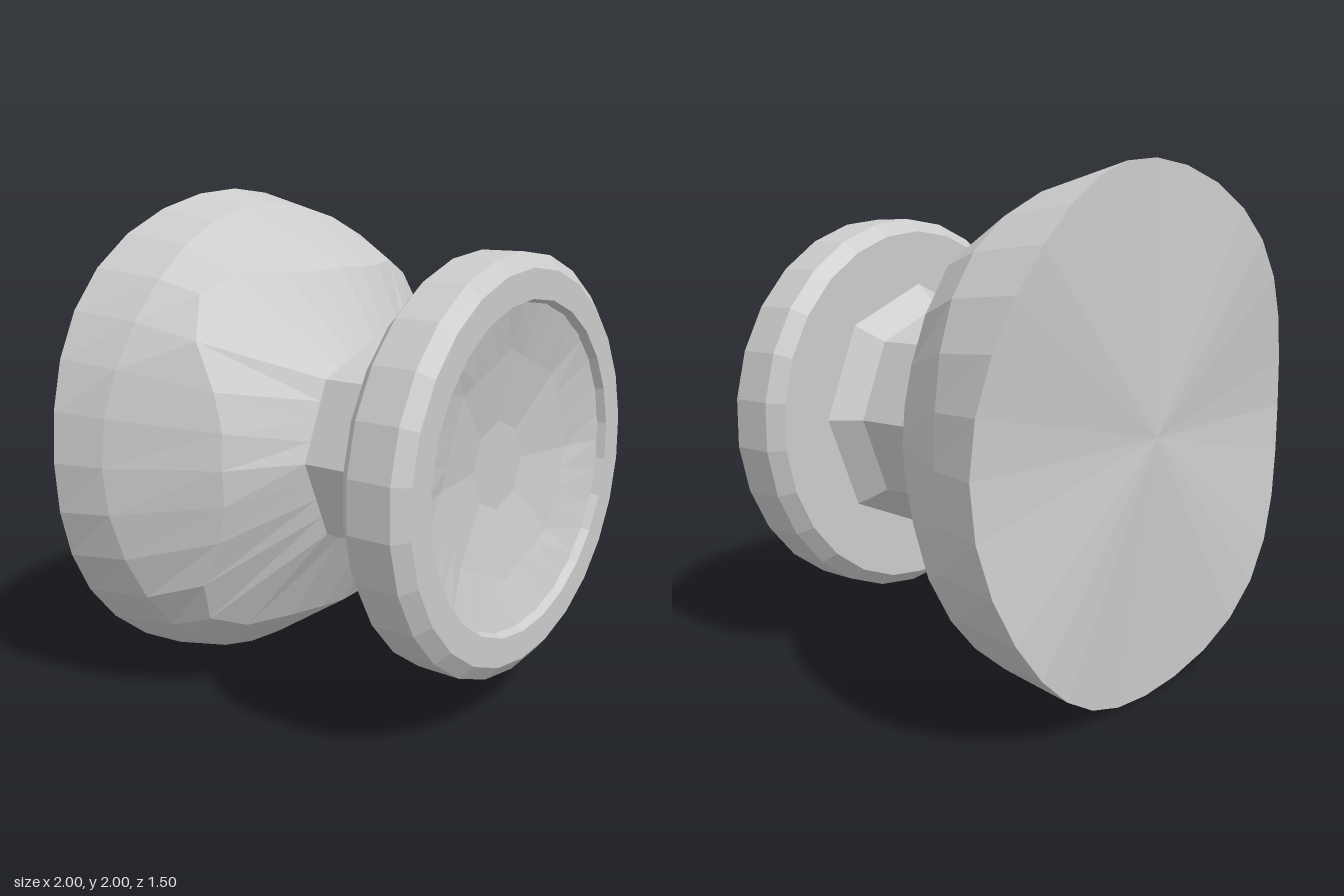
import * as THREE from 'three';

const material = new THREE.MeshStandardMaterial({ color: 0xcccccc, flatShading: true });
const AXIS_Y = 1;

// Lofts rings around the z axis, ordered from front to back; each ring maps an angle to [radius, z].
function loft(name, sides, rings) {
  const positions = [], index = [];
  for (const ring of rings) {
    for (let j = 0; j < sides; j++) {
      const angle = (j / sides) * Math.PI * 2;
      const [r, z] = ring(angle);
      positions.push(r * Math.sin(angle), AXIS_Y + r * Math.cos(angle), z);
    }
  }
  for (let i = 0; i < rings.length - 1; i++) {
    for (let j = 0; j < sides; j++) {
      const k = (j + 1) % sides;
      const a = i * sides + j, b = i * sides + k;
      const c = a + sides, d = b + sides;
      index.push(a, b, c, b, d, c);
    }
  }
  const geometry = new THREE.BufferGeometry();
  geometry.setAttribute('position', new THREE.Float32BufferAttribute(positions, 3));
  geometry.setIndex(index);
  geometry.computeVertexNormals();
  const mesh = new THREE.Mesh(geometry, material);
  mesh.name = name;
  return mesh;
}

// Round ring
const circle = (r, z) => () => [r, z];

// Eight-sided ring with corners on the x and y axes
const octagon = (r, z) => (angle) => {
  const step = Math.PI / 4;
  const local = (angle % step) - step / 2;
  return [(r * Math.cos(step / 2)) / Math.cos(local), z];
};

// Ring that changes from one radius and depth on the axes to another on the diagonals
const cornered = (r, z, rDiagonal, zDiagonal, power) => (angle) => {
  const w = Math.pow((1 - Math.cos(4 * angle)) / 2, power);
  return [r + (rDiagonal - r) * w, z + (zDiagonal - z) * w];
};

export function createModel() {
  const group = new THREE.Group();
  group.name = 'knob';

  // Chamfered disc with a shallow inner lip
  group.add(loft('disc', 26, [
    circle(0.61, 0.71), circle(0.625, 0.75), circle(0.735, 0.75),
    circle(0.79, 0.705), circle(0.79, 0.53), circle(0.74, 0.475), circle(0.4, 0.475),
  ]));

  // Faceted hollow in the disc face
  group.add(loft('dish', 32, [
    circle(0, 0.62), octagon(0.17, 0.62), octagon(0.44, 0.665), circle(0.63, 0.722),
  ]));

  // Eight-sided stem flaring into the disc
  group.add(loft('stem', 8, [
    circle(0.52, 0.475), circle(0.43, 0.37), circle(0.43, 0.045),
  ]));

  // Flared base with fuller diagonals, a wavy rim and a fan-shaped back
  group.add(loft('base', 32, [
    octagon(0.43, 0.045),
    cornered(0.7, -0.12, 0.89, -0.28, 2),
    cornered(0.94, -0.5, 0.96, -0.44, 1),
    cornered(1, -0.702, 1, -0.755, 1),
    circle(0, -0.728),
  ]));

  return group;
}
